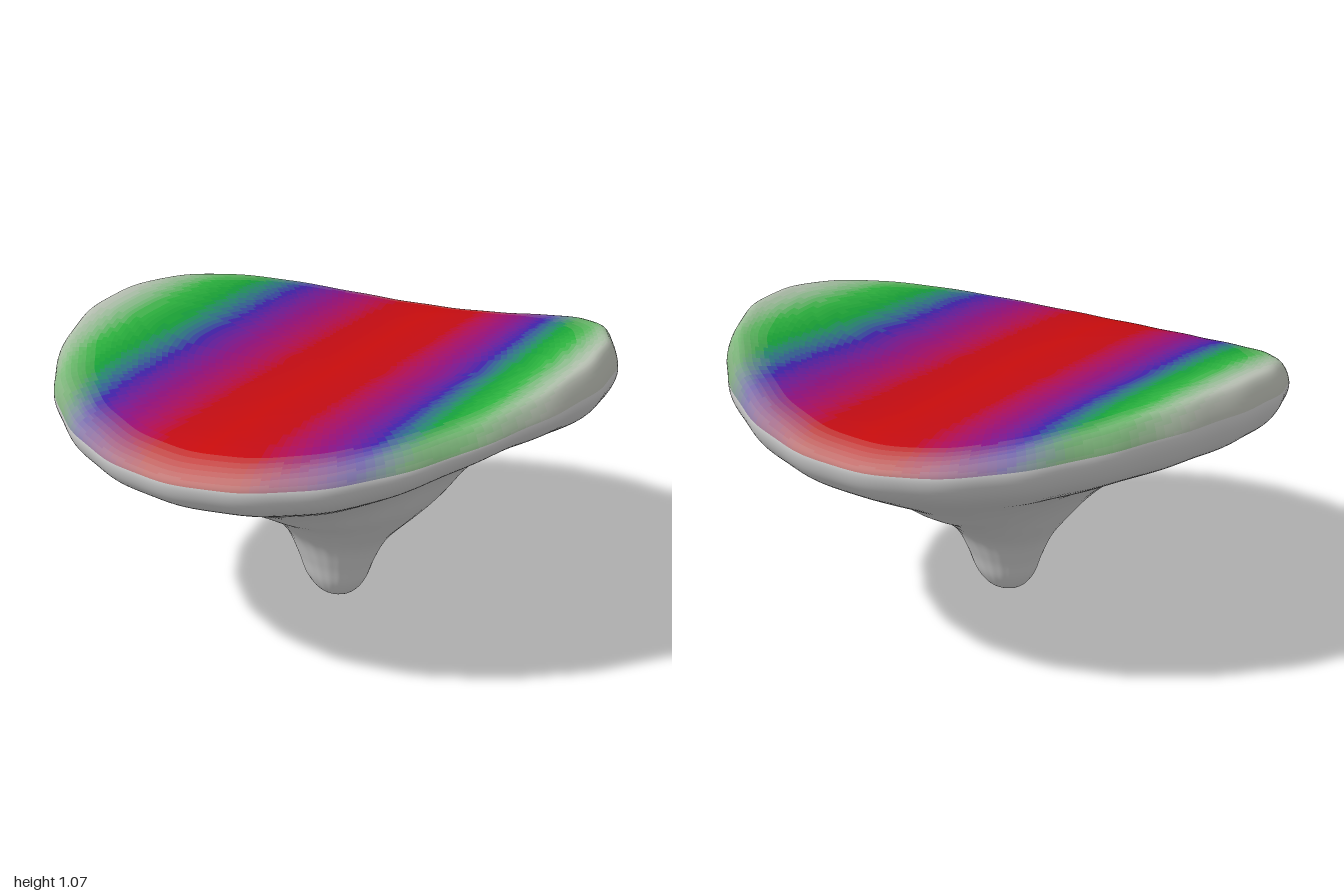
import * as THREE from 'three';

const COLS = 200, STEPS = 6;

// Underside from the foot to the outer edge: radius, height, saddle amount, front lift
const UNDER = [
  [0, 0, 0, 0], [0.065, 0.022, 0, 0], [0.108, 0.08, 0, 0], [0.14, 0.17, 0, 0],
  [0.19, 0.27, 0, 0], [0.29, 0.37, 0.01, 0], [0.4, 0.455, 0.035, 0], [0.51, 0.535, 0.05, 0.02],
  [0.65, 0.61, 0.055, 0.05], [0.81, 0.685, 0.055, 0.07], [0.93, 0.75, 0.06, 0.07],
  [0.985, 0.81, 0.07, 0.05], [1, 0.875, 0.075, 0.025],
];
const TOP_RADII = [0.965, 0.9, 0.8, 0.68, 0.55, 0.4, 0.25, 0.12, 0];

// Angle within the saddle: the rear peak is turned a little towards the back
const saddleAngle = (a) => a - 0.13 * (1 - Math.cos(a - 0.52));

// The whole rim leans slightly down towards -x
const tilt = (r, a) => 0.022 * r ** 4 * Math.cos(a);

// Saddle-shaped upper face, rounded off near its rim
function topHeight(r, s) {
  const v = r * Math.cos(s - Math.PI / 4), u = r * Math.sin(s - Math.PI / 4);
  return 0.885 + (v > 0 ? 0.215 : 0.193) * v * v - 0.02 * u ** 4 - 0.06 * r ** 12;
}

// Slightly squared, wavy outline seen from above
function outline(a) {
  return 1.004 + 0.013 * Math.cos(2 * a - 1.05) - 0.006 * Math.cos(4 * a) + 0.003 * Math.sin(23 * a);
}

// One section from foot to rim to the middle of the upper face
function section(a) {
  const s = saddleAngle(a), lift = Math.sin(2 * s);
  const front = Math.exp(-(((a - 1.3) / 0.45) ** 2));
  const pts = UNDER.map(([r, y, k, f]) => new THREE.Vector2(r, y + k * lift + f * front + tilt(r, a)));
  TOP_RADII.forEach((r) => pts.push(new THREE.Vector2(r, topHeight(r, s) + tilt(r, a))));
  return new THREE.SplineCurve(pts).getPoints((pts.length - 1) * STEPS);
}

// Colour stripes across the upper face: distance from the middle line, colour
const STOPS = [
  [0, 0xc80c0c], [0.18, 0xc00c14], [0.38, 0x8c107c], [0.53, 0x3c22a8],
  [0.68, 0x14a034], [0.79, 0x30b440], [0.96, 0xb4c0b2],
].map(([d, c]) => [d, new THREE.Color(c)]);
const PALE = new THREE.Color(0xc4bcb8);
const BANDS = 40, FADES = 9;

function stripeColor(d, fade) {
  let i = 0;
  while (i < STOPS.length - 2 && d > STOPS[i + 1][0]) i++;
  const [d0, c0] = STOPS[i], [d1, c1] = STOPS[i + 1];
  const t = THREE.MathUtils.clamp((d - d0) / (d1 - d0), 0, 1);
  return c0.clone().lerp(c1, t).lerp(PALE, fade);
}

export function createModel() {
  const group = new THREE.Group();
  group.name = 'saddleDish';

  // Skin points, with an oval foot set a little forward
  const positions = [];
  let rows = 0;
  for (let j = 0; j <= COLS; j++) {
    const a = ((j % COLS) / COLS) * Math.PI * 2;
    const pts = section(a), R = outline(a);
    rows = pts.length;
    pts.forEach((p, i) => {
      const below = i < UNDER.length * STEPS ? 1 : 0;
      const foot = below * Math.exp(-((p.x / 0.3) ** 2));
      const neck = below * Math.exp(-(((p.x - 0.36) / 0.15) ** 2));
      const r = Math.max(0, p.x) * R;
      positions.push(
        r * Math.cos(a) - 0.012 * foot + 0.03 * neck,
        Math.max(0, p.y),
        r * Math.sin(a) * (1 + 0.38 * foot) + 0.045 * foot + 0.02 * neck,
      );
    });
  }

  // Sort the faces into the grey underside and the coloured stripes
  const lip = (UNDER.length - 1) * STEPS;
  const under = [], stripes = new Map(), all = [];
  for (let j = 0; j < COLS; j++) {
    for (let i = 0; i < rows - 1; i++) {
      const a = j * rows + i, b = a + rows;
      const quad = [];
      if (i < rows - 2) quad.push(a, a + 1, b + 1);
      if (i > 0) quad.push(a, b + 1, b);
      all.push(...quad);
      if (i < lip) { under.push(...quad); continue; }
      const x = (positions[3 * a] + positions[3 * b + 3]) / 2;
      const z = (positions[3 * a + 2] + positions[3 * b + 5]) / 2;
      const d = Math.round(Math.abs(0.62 * x + 0.78 * z - 0.01) * BANDS);
      const fade = Math.round(THREE.MathUtils.smoothstep(Math.hypot(x, z), 0.83, 1.1) * FADES);
      const key = d * 10 + fade;
      if (!stripes.has(key)) stripes.set(key, []);
      stripes.get(key).push(...quad);
    }
  }

  // Smooth normals over the whole skin, joined at the seam and both poles
  const skin = new THREE.BufferGeometry();
  skin.setAttribute('position', new THREE.Float32BufferAttribute(positions, 3));
  skin.setIndex(all);
  skin.computeVertexNormals();
  const n = skin.attributes.normal, last = COLS * rows;
  const v = new THREE.Vector3(), w = new THREE.Vector3();
  for (let i = 0; i < rows; i++) {
    v.fromBufferAttribute(n, i).add(w.fromBufferAttribute(n, last + i)).normalize();
    n.setXYZ(i, v.x, v.y, v.z);
    n.setXYZ(last + i, v.x, v.y, v.z);
  }
  for (let j = 0; j <= COLS; j++) {
    n.setXYZ(j * rows, 0, -1, 0);
    n.setXYZ(j * rows + rows - 1, 0, 1, 0);
  }

  function addPart(name, index, color) {
    const geo = new THREE.BufferGeometry();
    geo.setAttribute('position', skin.attributes.position);
    geo.setAttribute('normal', n);
    geo.setIndex(index);
    const mesh = new THREE.Mesh(geo, new THREE.MeshStandardMaterial({ color }));
    mesh.name = name;
    group.add(mesh);
  }

  addPart('underside', under, 0xcccccc);
  let count = 0;
  for (const [key, index] of stripes) {
    const d = Math.floor(key / 10) / BANDS, fade = ((key % 10) / FADES) * 0.6;
    addPart(`topStripe${++count}`, index, stripeColor(d, fade));
  }
  return group;
}
